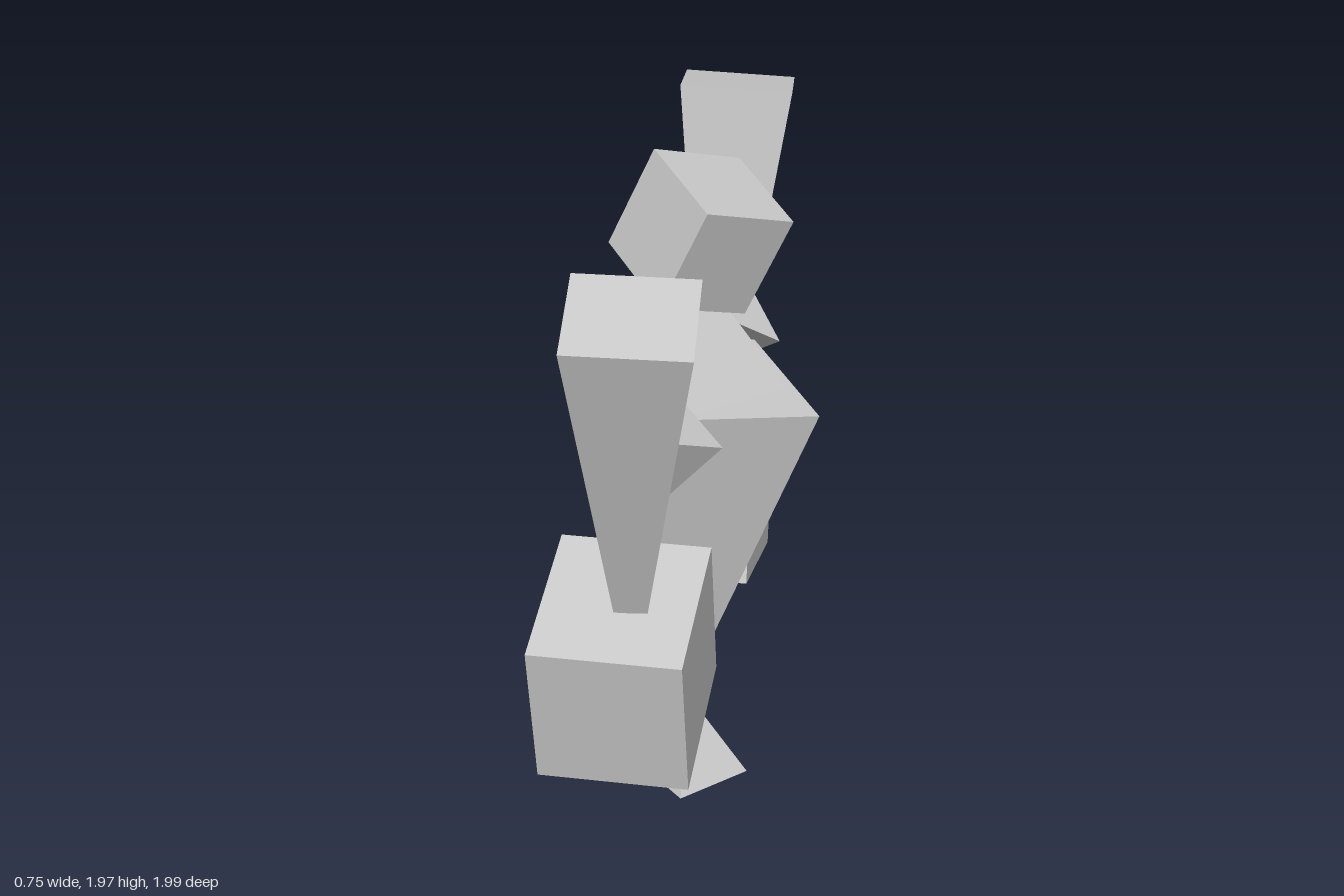
import * as THREE from 'three';

const UP = new THREE.Vector3(0, 1, 0);
const material = new THREE.MeshStandardMaterial({ color: 0xcccccc, flatShading: true });

// Four-sided frustum (or pyramid) running from one centre point to another
function foursided(name, rFrom, rTo, from, to, yaw = 0, depth = 1) {
  const a = new THREE.Vector3(...from);
  const b = new THREE.Vector3(...to);
  const axis = b.clone().sub(a);
  const geometry = new THREE.CylinderGeometry(rTo, rFrom, axis.length(), 4);
  geometry.rotateY(yaw);
  geometry.scale(1, 1, depth);
  const mesh = new THREE.Mesh(geometry, material);
  mesh.name = name;
  mesh.quaternion.setFromUnitVectors(UP, axis.normalize());
  mesh.position.copy(a).add(b).multiplyScalar(0.5);
  return mesh;
}

// Block placed at a centre and turned
function block(name, size, position, rotation) {
  const mesh = new THREE.Mesh(new THREE.BoxGeometry(...size), material);
  mesh.name = name;
  mesh.position.set(...position);
  mesh.rotation.set(...rotation, 'ZYX');
  return mesh;
}

export function createModel() {
  const model = new THREE.Group();
  model.name = 'floatingBlockGolem';

  // Head, neck, body and foot stacked on the middle axis
  model.add(
    block('head', [0.297, 0.309, 0.297], [0.02, 1.745, 0.01], [0, 0.737, -0.43]),
    foursided('neck', 0.245, 0, [0.02, 1.295, 0.01], [0.02, 1.63, 0.01]),
    foursided('body', 0.41, 0, [0, 1.296, 0.006], [-0.005, 0.3, 0.03], 0, 0.785),
    foursided('foot', 0.172, 0, [-0.004, 0, 0.03], [-0.004, 0.245, 0.03]),
  );

  // Shoulder spikes pointing out to the arms
  model.add(
    foursided('frontShoulder', 0.172, 0, [-0.03, 1.28, 0.363], [-0.035, 1.41, 0.6]),
    foursided('backShoulder', 0.173, 0, [0.02, 1.252, -0.357], [0.016, 1.435, -0.57]),
  );

  // Arms flaring upward from the fists
  const yaw = Math.PI / 4 + 0.107;
  model.add(
    foursided('frontArm', 0.064, 0.23, [-0.058, 0.94, 0.624], [-0.011, 1.871, 0.821], yaw),
    foursided('backArm', 0.055, 0.23, [-0.033, 0.857, -0.6], [-0.006, 1.87, -0.822], yaw),
  );

  // Fists
  const fist = [0.415, 0.454, 0.472];
  model.add(
    block('frontFist', fist, [-0.09, 0.718, 0.577], [0.205, 0, 0]),
    block('backFist', fist, [-0.09, 0.641, -0.545], [-0.255, 0, 0]),
  );

  return model;
}
